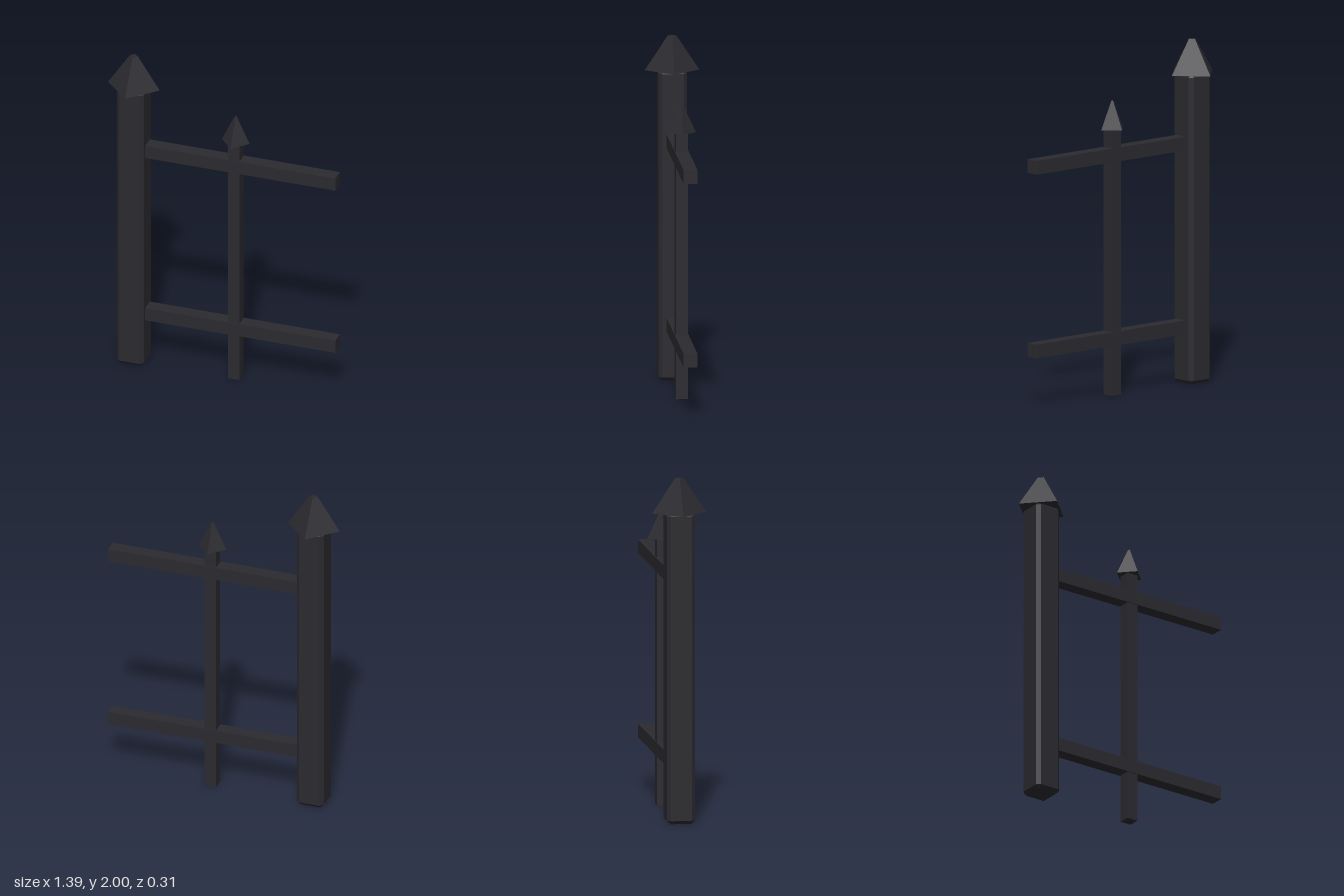
import * as THREE from 'three';
import { ConvexGeometry } from 'three/addons/geometries/ConvexGeometry.js';

const iron = new THREE.MeshStandardMaterial({ color: 0x2b2b30, flatShading: true });

// Box with every edge and corner chamfered by c
function chamferedBox(w, h, d, c) {
  const points = [];
  for (const sx of [-1, 1]) for (const sy of [-1, 1]) for (const sz of [-1, 1]) {
    const x = w / 2, y = h / 2, z = d / 2;
    points.push(
      new THREE.Vector3(sx * x, sy * (y - c), sz * (z - c)),
      new THREE.Vector3(sx * (x - c), sy * y, sz * (z - c)),
      new THREE.Vector3(sx * (x - c), sy * (y - c), sz * z)
    );
  }
  return new ConvexGeometry(points);
}

export function createModel() {
  const fence = new THREE.Group();
  fence.name = 'fenceSection';

  const add = (name, geometry, x, y) => {
    const mesh = new THREE.Mesh(geometry, iron);
    mesh.name = name;
    mesh.position.set(x, y, 0);
    fence.add(mesh);
  };

  const postX = -0.54, picketX = 0.078;

  // Main post and its blunt four-sided cap, corners on the axes
  add('post', chamferedBox(0.164, 1.81, 0.164, 0.021), postX, 0.905);
  add('postCap', new THREE.CylinderGeometry(0.025, 0.157, 0.2, 4), postX, 1.9);

  // Thin picket and its spear tip
  add('picket', new THREE.BoxGeometry(0.07, 1.56, 0.07), picketX, 0.78);
  add('picketTip', new THREE.CylinderGeometry(0.007, 0.085, 0.165, 4), picketX, 1.6325);

  // Two horizontal rails running out of the post
  const railStart = -0.48, railEnd = 0.697;
  for (const [name, y] of [['lowerRail', 0.332], ['upperRail', 1.403]]) {
    add(name, new THREE.BoxGeometry(railEnd - railStart, 0.08, 0.08), (railStart + railEnd) / 2, y);
  }

  return fence;
}
